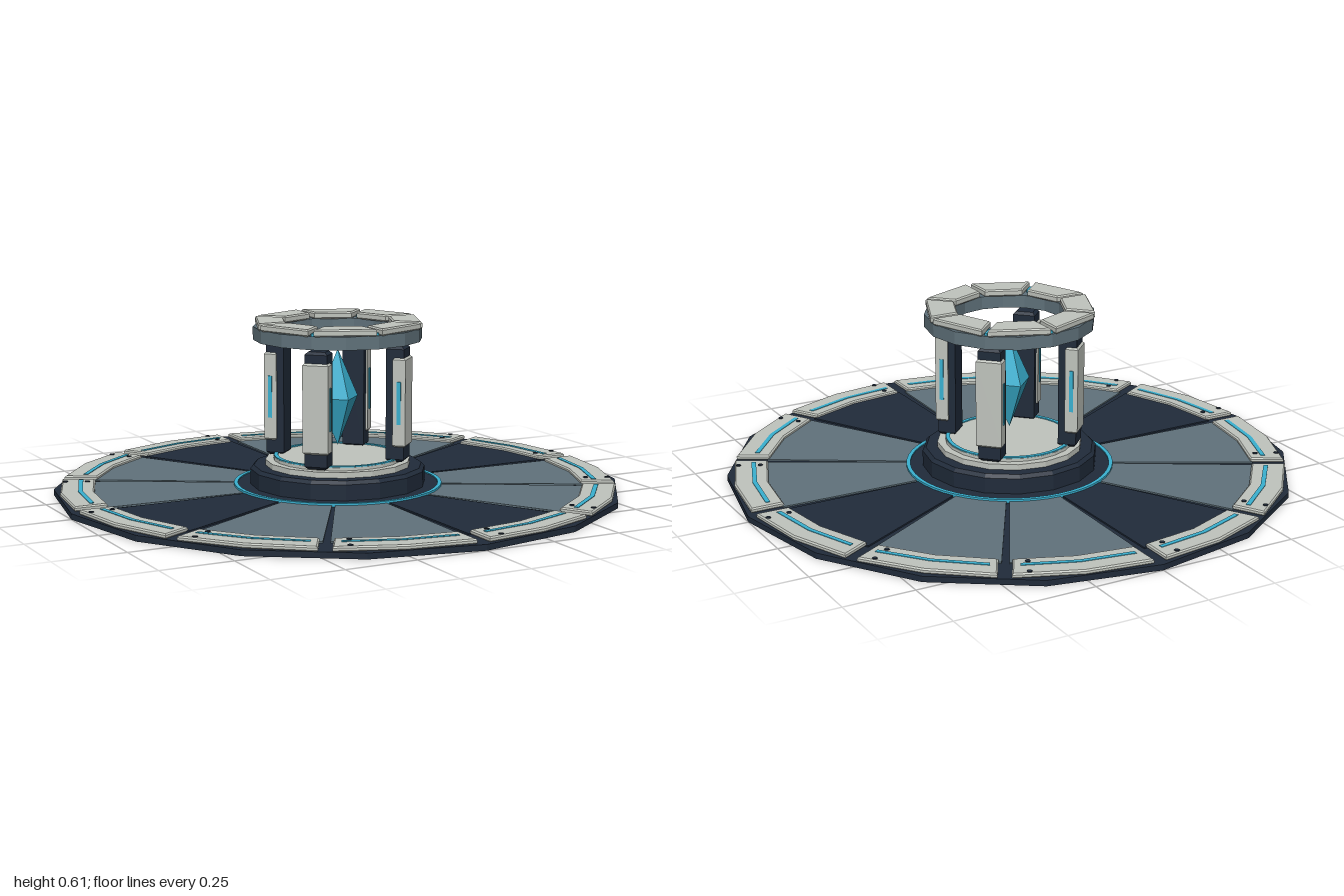
import * as THREE from 'three';

const mat = (name, color) => Object.assign(new THREE.MeshStandardMaterial({ color }), { name });
const RAD = Math.PI / 180;

// Faceted normals
function flat(geo) {
  const g = geo.index ? geo.toNonIndexed() : geo;
  g.computeVertexNormals();
  return g;
}

// Upright extrusion of a ground-plan shape, from y0 to y1, with a chamfer c
function slab(shape, y0, y1, c = 0) {
  const g = new THREE.ExtrudeGeometry(shape, {
    depth: y1 - y0 - 2 * c, curveSegments: 24, bevelEnabled: c > 0,
    bevelSize: c, bevelThickness: c, bevelOffset: -c, bevelSegments: 1,
  });
  return g.rotateX(-Math.PI / 2).translate(0, y0 + c, 0);
}

// Ring sector with straight facets; gap trims both ends in parallel to the radius
function sector(r0, r1, a0, a1, steps, gap = 0) {
  const pts = [];
  for (const [r, dir] of [[r1, 1], [r0, -1]]) {
    const trim = gap / 2 / r;
    for (let k = 0; k <= steps; k++) {
      const t = dir > 0 ? k / steps : 1 - k / steps;
      const a = a0 * RAD + trim + t * ((a1 - a0) * RAD - 2 * trim);
      pts.push(new THREE.Vector2(r * Math.cos(a), r * Math.sin(a)));
    }
  }
  return new THREE.Shape(pts);
}

// Closed ring with a given number of sides
function ring(r0, r1, sides) {
  const loop = (r) => Array.from({ length: sides }, (_, k) => {
    const a = (k / sides) * Math.PI * 2;
    return new THREE.Vector2(r * Math.cos(a), r * Math.sin(a));
  });
  const s = new THREE.Shape(loop(r1));
  s.holes.push(new THREE.Path(loop(r0)));
  return s;
}

function rect(w, d) {
  return new THREE.Shape([[-1, -1], [1, -1], [1, 1], [-1, 1]]
    .map(([x, y]) => new THREE.Vector2(x * w / 2, y * d / 2)));
}

export function createModel() {
  const light = mat('pale plating', 0xc0c4bd);
  const grey = mat('slate grey', 0x60727b);
  const dark = mat('dark navy', 0x202b3a);
  const cyan = mat('glowing cyan', 0x39b0d0);

  const model = new THREE.Group();
  model.name = 'crystalPlatform';
  const add = (name, geo, material, parent = model) => {
    const m = new THREE.Mesh(geo, material);
    m.name = name;
    parent.add(m);
    return m;
  };
  const drum = (r1, r0, y0, y1, sides) =>
    flat(new THREE.CylinderGeometry(r1, r0, y1 - y0, sides).translate(0, (y0 + y1) / 2, 0));

  // Base disc
  add('baseDisc', drum(1, 1, 0, 0.02, 16), dark);

  // Floor panels and rim plates, twelve around
  for (let i = 0; i < 12; i++) {
    const a = i * 30;
    add('floorPanel', slab(sector(0.36, 0.868, a + 0.8, a + 29.2, 4), 0.018, 0.025),
      i % 3 === 0 ? dark : grey);
    add('rimPlate', slab(sector(0.862, 0.98, a, a + 30, 2, 0.045), 0.018, 0.036, 0.005), light);
    add('rimStripe', slab(sector(0.902, 0.918, a + 3, a + 27, 2), 0.034, 0.038), cyan);
    for (const r of [0.885, 0.962]) {
      const b = (a + 4.6) * RAD;
      const bolt = new THREE.CylinderGeometry(0.009, 0.009, 0.006, 6);
      add('rimBolt', flat(bolt.translate(r * Math.cos(b), 0.036, -r * Math.sin(b))), dark);
    }
  }

  // Pedestal tiers and glow rings
  add('pedestalFoot', drum(0.356, 0.356, 0.018, 0.028, 32), dark);
  add('floorGlowRing', slab(ring(0.354, 0.368, 48), 0.02, 0.032), cyan);
  add('pedestalDrum', drum(0.31, 0.31, 0.025, 0.083, 16), dark);
  add('pedestalChamfer', drum(0.298, 0.31, 0.083, 0.095, 16), dark);
  add('pedestalStep', drum(0.257, 0.257, 0.09, 0.115, 16), light);
  add('pedestalTop', drum(0.228, 0.228, 0.11, 0.126, 24), light);
  add('pedestalGlowRing', slab(ring(0.212, 0.226, 32), 0.12, 0.13), cyan);

  // Four pillars on the diagonals, each built facing +x
  for (let i = 0; i < 4; i++) {
    const pillar = new THREE.Group();
    pillar.name = 'pillar';
    pillar.rotation.y = (45 + 90 * i) * RAD;
    model.add(pillar);
    add('pillarCore', slab(rect(0.065, 0.08), 0.12, 0.528, 0.01).translate(0.22, 0, 0), dark, pillar);
    add('pillarCladding', slab(rect(0.046, 0.092), 0.172, 0.49, 0.008).translate(0.236, 0, 0), light, pillar);
    for (const s of [-1, 1]) {
      add('pillarStrip', new THREE.BoxGeometry(0.014, 0.15, 0.006).translate(0.236, 0.33, s * 0.046), cyan, pillar);
    }
  }

  // Floating crown ring with eight plates and lights in the gaps
  add('crownRing', slab(ring(0.2, 0.298, 16), 0.542, 0.588), grey);
  for (let i = 0; i < 8; i++) {
    add('crownPlate', slab(sector(0.198, 0.304, i * 45, i * 45 + 45, 1, 0.02), 0.586, 0.611, 0.005), light);
    const lamp = add('crownLight', new THREE.BoxGeometry(0.05, 0.009, 0.01).translate(0.265, 0.592, 0), cyan);
    lamp.rotation.y = i * 45 * RAD;
  }

  // Floating crystal
  add('crystal', new THREE.OctahedronGeometry(1).scale(0.08, 0.172, 0.08).translate(0, 0.334, 0), cyan);

  return model;
}
